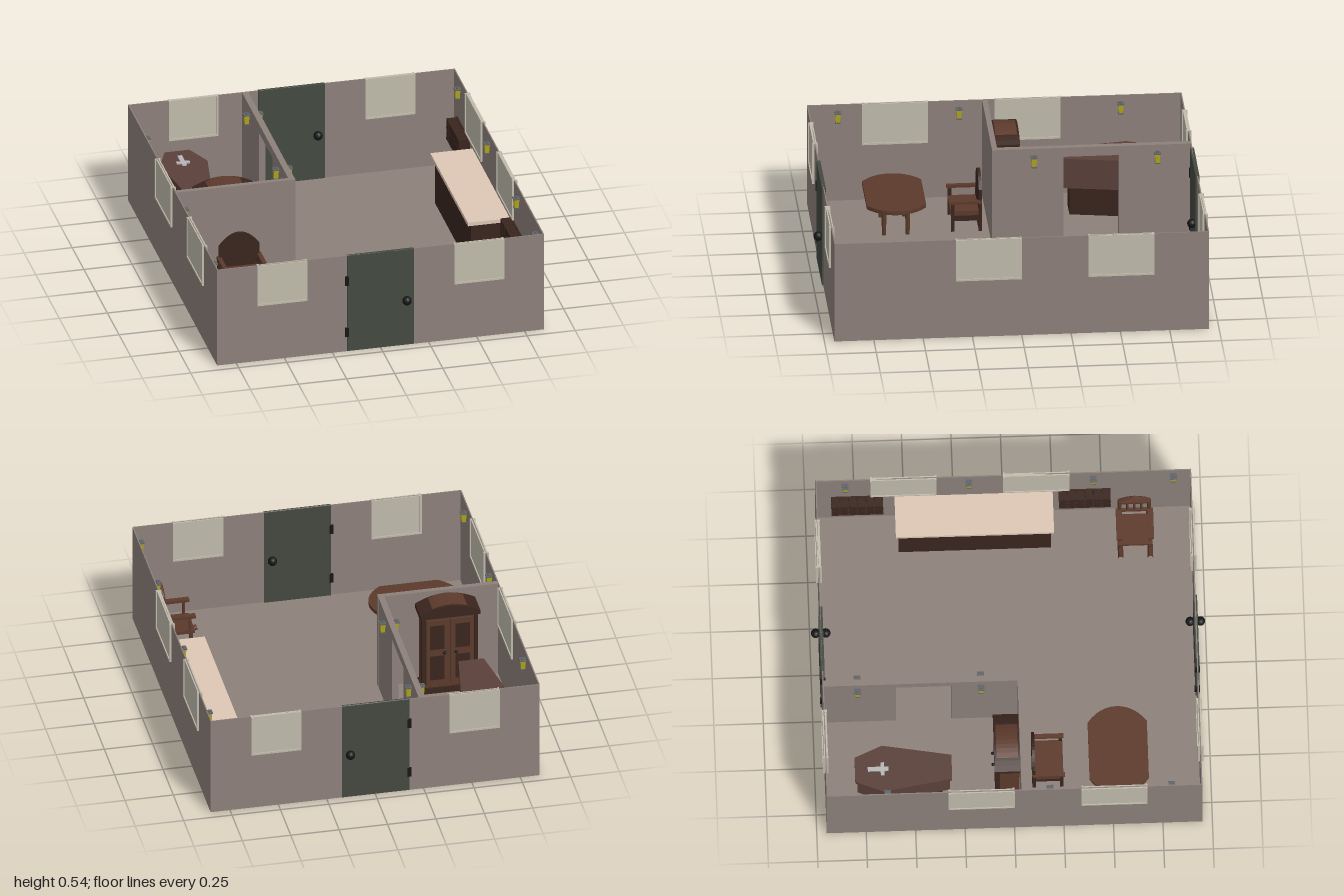
import * as THREE from 'three';

const mat = (color, side = THREE.FrontSide) => new THREE.MeshStandardMaterial({ color, side, flatShading: true });
const M = {
  wall: mat(0x8d807a), door: mat(0x444940), black: mat(0x161616), pane: mat(0xc0bbab),
  wood: mat(0x5c3a2b), dark: mat(0x3a251e), coffin: mat(0x5b403a), top: mat(0xdec7b6),
  silver: mat(0xb8b8b8), yellow: mat(0xb0a51c), metal: mat(0x5f6468),
};

function add(parent, name, geometry, material, x = 0, y = 0, z = 0) {
  const mesh = new THREE.Mesh(geometry, material);
  mesh.name = name;
  mesh.position.set(x, y, z);
  parent.add(mesh);
  return mesh;
}

// Box given by its extents on each axis
function box(parent, name, material, [x0, x1], [y0, y1], [z0, z1]) {
  return add(parent, name, new THREE.BoxGeometry(x1 - x0, y1 - y0, z1 - z0), material,
    (x0 + x1) / 2, (y0 + y1) / 2, (z0 + z1) / 2);
}

function group(parent, name, x = 0, y = 0, z = 0) {
  const g = new THREE.Group();
  g.name = name;
  g.position.set(x, y, z);
  parent.add(g);
  return g;
}

const extrude = (shape, depth) => new THREE.ExtrudeGeometry(shape, { depth, bevelEnabled: false, curveSegments: 12 });

// Upright panel with an arched top, standing on y = 0 in the xy plane
function archShape(w, side, apex) {
  const s = new THREE.Shape();
  s.moveTo(-w / 2, 0);
  s.lineTo(w / 2, 0);
  s.lineTo(w / 2, side);
  s.quadraticCurveTo(0, 2 * apex - side, -w / 2, side);
  s.closePath();
  return s;
}

// Flat slab from a plan outline of [x, z] points
function slab(points, depth) {
  const s = new THREE.Shape(points.map(([x, z]) => new THREE.Vector2(x, -z)));
  return extrude(s, depth).rotateX(-Math.PI / 2);
}

const W = 0.85, D = 0.95, H = 0.54, T = 0.006;

function buildShell(root) {
  const g = group(root, 'building');
  box(g, 'floor', M.wall, [-W, W], [0, 0.008], [-D, D]);
  for (const s of [-1, 1]) {
    add(g, 'sideWall', new THREE.BoxGeometry(T, H, 2 * D), M.wall, s * (W - T / 2), H / 2, 0);
    add(g, 'endWall', new THREE.BoxGeometry(2 * W, H, T), M.wall, 0, H / 2, s * (D - T / 2));
    // Windows
    for (const x of [-0.512, 0.512]) window_(g, x, s * (D - T / 2), 0.26, 0);
    for (const z of [-0.505, 0.167]) window_(g, s * (W - T / 2), s * z, 0.335, Math.PI / 2);
    // Door with knobs on both faces and two hinges
    const d = group(g, s > 0 ? 'frontDoor' : 'backDoor', 0, 0, s * (D - T / 2));
    box(d, 'doorLeaf', M.door, [-0.175, 0.172], [0.004, H], [-0.01, 0.01]);
    for (const k of [-1, 1]) add(d, 'doorKnob', new THREE.SphereGeometry(0.024, 14, 10), M.black, 0.132, 0.26, k * 0.026);
    add(d, 'knobShaft', new THREE.CylinderGeometry(0.009, 0.009, 0.05, 8).rotateX(Math.PI / 2), M.black, 0.132, 0.26, 0);
    for (const y of [0.11, 0.4]) box(d, 'hinge', M.black, [-0.186, -0.166], [y - 0.025, y + 0.025], [-0.014, 0.014]);
  }
  // Inner room partition with an open doorway
  box(g, 'partitionFront', M.wall, [-W, -0.225], [0, H], [0.035, 0.062]);
  const p = new THREE.Shape();
  for (const [z, y] of [[-D, 0], [-0.58, 0], [-0.58, 0.49], [-0.3, 0.49], [-0.3, 0], [0.06, 0], [0.06, H], [-D, H]])
    p.currentPoint.equals(new THREE.Vector2()) && !p.curves.length ? p.moveTo(-z, y) : p.lineTo(-z, y);
  const side = add(g, 'partitionSide', extrude(p, 0.032), M.wall, -0.258, 0, 0);
  side.rotation.y = Math.PI / 2;
}

function window_(parent, x, z, w, turn) {
  const g = group(parent, 'window', x, 0, z);
  g.rotation.y = turn;
  box(g, 'pane', M.pane, [-w / 2, w / 2], [0.315, H], [-0.009, 0.009]);
  for (const s of [-1, 1]) add(g, 'windowJamb', new THREE.BoxGeometry(0.01, 0.225, 0.028), M.pane, s * (w / 2 - 0.005), 0.4275, 0);
  box(g, 'windowSill', M.pane, [-w / 2, w / 2], [0.315, 0.325], [-0.014, 0.014]);
}

function buildCoffin(root) {
  const g = group(root, 'coffin', -0.632, 0, 0);
  const plan = (k) => [[-0.065, -0.8], [0.065, -0.8], [0.125, -0.66], [0.065, -0.31], [-0.065, -0.31], [-0.122, -0.66]]
    .map(([x, z]) => [x * k, -0.555 + (z + 0.555) * k]);
  add(g, 'coffinPlinth', slab(plan(0.8), 0.16), M.dark);
  add(g, 'coffinBody', slab(plan(0.95), 0.14), M.coffin, 0, 0.16);
  add(g, 'coffinLid', slab(plan(1), 0.025), M.coffin, 0, 0.3);
  box(g, 'crossUpright', M.silver, [-0.013, 0.01], [0.325, 0.333], [-0.735, -0.63]);
  box(g, 'crossBar', M.silver, [-0.036, 0.033], [0.325, 0.333], [-0.67, -0.652]);
}

function buildWardrobe(root) {
  const g = group(root, 'wardrobe', -0.57, 0, 0);
  box(g, 'base', M.dark, [-0.15, 0.15], [0, 0.04], [-0.09, 0.032]);
  box(g, 'body', M.wood, [-0.135, 0.135], [0.04, 0.46], [-0.08, 0.03]);
  add(g, 'archedCornice', extrude(archShape(0.31, 0.025, 0.068), 0.128), M.dark, 0, 0.455, -0.096);
  add(g, 'archedCrown', extrude(archShape(0.26, 0.025, 0.068), 0.11), M.wood, 0, 0.461, -0.085);
  for (const s of [-1, 1]) {
    add(g, 'wardrobeDoor', new THREE.BoxGeometry(0.118, 0.38, 0.01), M.wood, s * 0.062, 0.25, -0.085);
    for (const y of [0.16, 0.34]) add(g, 'doorPanel', new THREE.BoxGeometry(0.075, 0.14, 0.006), M.dark, s * 0.066, y, -0.09);
    add(g, 'pull', new THREE.SphereGeometry(0.009, 8, 6), M.black, s * 0.03, 0.25, -0.1);
    box(g, 'cornerPost', M.dark, s < 0 ? [-0.145, -0.125] : [0.125, 0.145], [0.04, 0.46], [-0.09, -0.07]);
  }
}

function buildTable(root) {
  const g = group(root, 'table', -0.52, 0, 0.535);
  const s = new THREE.Shape();
  s.moveTo(-0.15, -0.15);
  s.lineTo(0.15, -0.15);
  s.bezierCurveTo(0.263, -0.07, 0.263, 0.07, 0.15, 0.15);
  s.lineTo(-0.15, 0.15);
  s.bezierCurveTo(-0.263, 0.07, -0.263, -0.07, -0.15, -0.15);
  add(g, 'tableTop', extrude(s, 0.02).rotateX(-Math.PI / 2), M.wood, 0, 0.17);
  box(g, 'tableApron', M.wood, [-0.12, 0.12], [0.14, 0.17], [-0.075, 0.075]);
  for (const x of [-0.11, 0.11]) for (const z of [-0.06, 0.06])
    add(g, 'tableLeg', new THREE.CylinderGeometry(0.014, 0.01, 0.17, 8), M.wood, x, 0.085, z);
}

function buildArmchair(root) {
  const g = group(root, 'armchair', -0.53, 0, 0);
  add(g, 'archedBack', extrude(archShape(0.21, 0.23, 0.3), 0.016), M.dark, 0, 0, 0.097);
  box(g, 'seat', M.wood, [-0.1, 0.1], [0.09, 0.115], [0.1, 0.255]);
  box(g, 'seatApron', M.dark, [-0.1, 0.1], [0.06, 0.09], [0.11, 0.245]);
  for (const s of [-1, 1]) {
    add(g, 'armrest', new THREE.BoxGeometry(0.022, 0.015, 0.165), M.wood, s * 0.104, 0.165, 0.179);
    add(g, 'frontLeg', new THREE.BoxGeometry(0.018, 0.16, 0.018), M.dark, s * 0.104, 0.08, 0.245);
    add(g, 'backLeg', new THREE.BoxGeometry(0.018, 0.16, 0.018), M.dark, s * 0.104, 0.08, 0.106);
  }
}

function buildCounter(root) {
  const g = group(root, 'counter');
  box(g, 'counterBody', M.dark, [0.645, 0.844], [0, 0.265], [-0.535, 0.235]);
  box(g, 'counterTop', M.top, [0.625, 0.844], [0.265, 0.285], [-0.55, 0.25]);
}

// Wall rack holding two rows of six blocks
function buildRack(root, z0) {
  const g = group(root, 'wallRack', 0, 0, z0);
  box(g, 'rackBack', M.dark, [0.835, 0.845], [0.19, 0.31], [0, 0.262]);
  for (let row = 0; row < 2; row++) {
    const y = 0.19 + row * 0.06;
    box(g, 'rackShelf', M.dark, [0.785, 0.84], [y, y + 0.008], [0, 0.262]);
    for (let i = 0; i < 6; i++) {
      const z = 0.003 + i * 0.0435;
      box(g, 'rackBlock', M.dark, [0.786, 0.838], [y + 0.008, y + 0.057], [z, z + 0.038]);
    }
  }
}

function buildRockingChair(root) {
  const g = group(root, 'rockingChair', 0.69, 0, 0.66);
  box(g, 'seat', M.wood, [-0.085, 0.08], [0.105, 0.122], [-0.085, 0.085]);
  for (const s of [-1, 1]) {
    const z = s * 0.075;
    const curve = new THREE.QuadraticBezierCurve3(new THREE.Vector3(-0.128, 0.04, z),
      new THREE.Vector3(0, 0, z), new THREE.Vector3(0.125, 0.04, z));
    add(g, 'rocker', new THREE.TubeGeometry(curve, 10, 0.014, 6), M.wood);
    for (const x of [-0.065, 0.065]) add(g, 'leg', new THREE.CylinderGeometry(0.01, 0.01, 0.085, 6), M.wood, x, 0.065, z);
    add(g, 'backPost', new THREE.CylinderGeometry(0.01, 0.01, 0.22, 6), M.wood, 0.078, 0.225, z);
    add(g, 'armPost', new THREE.CylinderGeometry(0.008, 0.008, 0.085, 6), M.wood, -0.06, 0.16, z);
    add(g, 'armrest', new THREE.BoxGeometry(0.165, 0.014, 0.03), M.wood, -0.005, 0.205, s * 0.08);
  }
  // Arched top rail, slats and spindles
  const rail = new THREE.QuadraticBezierCurve3(new THREE.Vector3(0.078, 0.325, -0.075),
    new THREE.Vector3(0.078, 0.395, 0), new THREE.Vector3(0.078, 0.325, 0.075));
  add(g, 'topRail', new THREE.TubeGeometry(rail, 10, 0.012, 6), M.wood);
  for (const y of [0.18, 0.29]) box(g, 'backRail', M.wood, [0.071, 0.085], [y, y + 0.02], [-0.075, 0.075]);
  for (const z of [-0.035, 0, 0.035]) add(g, 'spindle', new THREE.CylinderGeometry(0.006, 0.006, 0.11, 6), M.wood, 0.078, 0.24, z);
}

function buildLantern(root, x, z) {
  const g = group(root, 'lantern', x, 0.475, z);
  add(g, 'lanternGlass', new THREE.CylinderGeometry(0.019, 0.015, 0.046, 4).rotateY(Math.PI / 4), M.yellow);
  add(g, 'lanternCap', new THREE.BoxGeometry(0.034, 0.006, 0.034), M.metal, 0, 0.026, 0);
  add(g, 'lanternKnob', new THREE.BoxGeometry(0.012, 0.008, 0.012), M.metal, 0, 0.033, 0);
  add(g, 'lanternBase', new THREE.BoxGeometry(0.026, 0.006, 0.026), M.metal, 0, -0.026, 0);
}

export function createModel() {
  const root = new THREE.Group();
  root.name = 'house';
  buildShell(root);
  buildCoffin(root);
  buildWardrobe(root);
  buildTable(root);
  buildArmchair(root);
  buildCounter(root);
  for (const z of [-0.87, 0.28]) buildRack(root, z);
  buildRockingChair(root);
  for (const z of [-0.64, 0.18, 0.795]) buildLantern(root, -0.828, z);
  for (const z of [-0.8, -0.175, 0.455, 0.86]) buildLantern(root, 0.826, z);
  for (const z of [-0.775, -0.15]) for (const x of [-0.277, -0.208]) buildLantern(root, x, z);
  return root;
}
